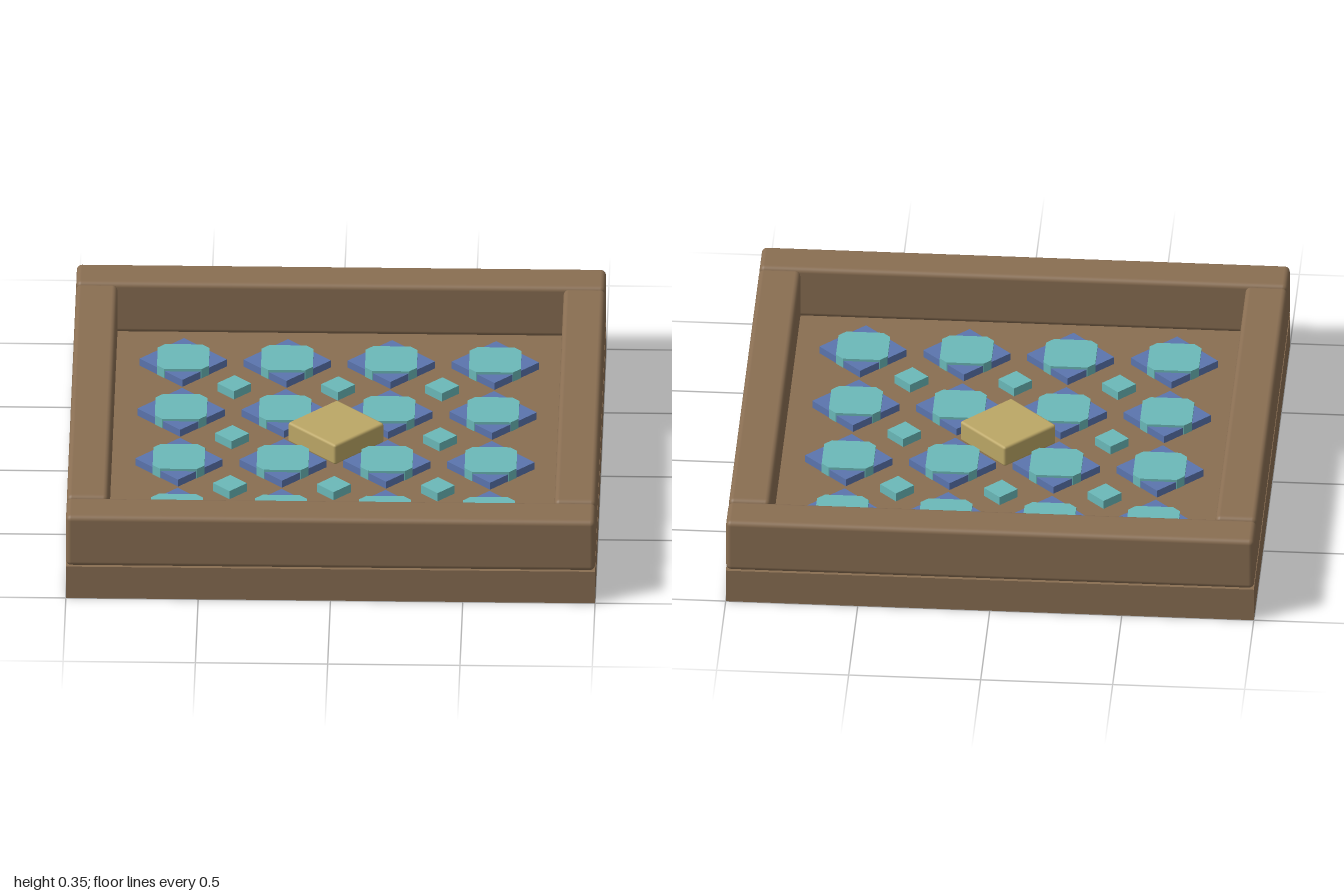
import * as THREE from 'three';
import { RoundedBoxGeometry } from 'three/addons/geometries/RoundedBoxGeometry.js';

const mat = (name, color) => Object.assign(new THREE.MeshStandardMaterial({ color }), { name });

export function createModel() {
  const wood = mat('wood', 0x896e52);
  const blue = mat('blue glaze', 0x5b75ae);
  const teal = mat('teal glaze', 0x6bb9b9);
  const gold = mat('gold', 0xbca766);
  const model = new THREE.Group();
  const floor = 0.135;

  const add = (name, geometry, material, x, y, z) => {
    const mesh = new THREE.Mesh(geometry, material);
    mesh.name = name;
    mesh.position.set(x, y, z);
    model.add(mesh);
    return mesh;
  };

  // Base slab
  add('base', new THREE.BoxGeometry(2, floor, 2), wood, 0, floor / 2, 0);

  // Raised frame with softened edges
  const longRail = new RoundedBoxGeometry(2, 0.215, 0.157, 3, 0.02);
  const sideRail = new RoundedBoxGeometry(0.157, 0.215, 1.68, 3, 0.02);
  for (const s of [-1, 1]) {
    add(s > 0 ? 'frontRail' : 'backRail', longRail, wood, 0, 0.2425, s * 0.9215);
    add(s > 0 ? 'leftRail' : 'rightRail', sideRail, wood, s * 0.9215, 0.2425, 0);
  }

  // Square tile turned to a diamond, given by its half diagonal
  const diamond = (r, h) => new THREE.BoxGeometry(r * Math.SQRT2, h, r * Math.SQRT2).rotateY(Math.PI / 4);

  // Square inlay with clipped corners
  const a = 0.098, b = 0.07;
  const shape = new THREE.Shape(
    [[a, -b], [a, b], [b, a], [-b, a], [-a, b], [-a, -b], [-b, -a], [b, -a]].map(([x, y]) => new THREE.Vector2(x, y)));
  const inlay = new THREE.ExtrudeGeometry(shape, { depth: 0.04, bevelEnabled: false }).rotateX(-Math.PI / 2);

  // Four by four grid of large tiles
  const tile = diamond(0.165, 0.03);
  const pitch = 0.393;
  for (let i = 0; i < 4; i++) for (let j = 0; j < 4; j++) {
    const x = (i - 1.5) * pitch, z = (j - 1.5) * pitch;
    add('diamondTile', tile, blue, x, floor + 0.015, z);
    add('tileInlay', inlay, teal, x, floor, z);
  }

  // Small diamonds between them, leaving the centre free
  const small = diamond(0.064, 0.035);
  for (let i = -1; i <= 1; i++) for (let j = -1; j <= 1; j++) {
    if (i || j) add('smallDiamond', small, teal, i * pitch, floor + 0.0175, j * pitch);
  }

  // Gold centrepiece
  const side = 0.183 * Math.SQRT2;
  add('centrepiece', new RoundedBoxGeometry(side, 0.085, side, 2, 0.01), gold, 0, floor + 0.0425, 0)
    .rotation.y = Math.PI / 4;

  return model;
}
